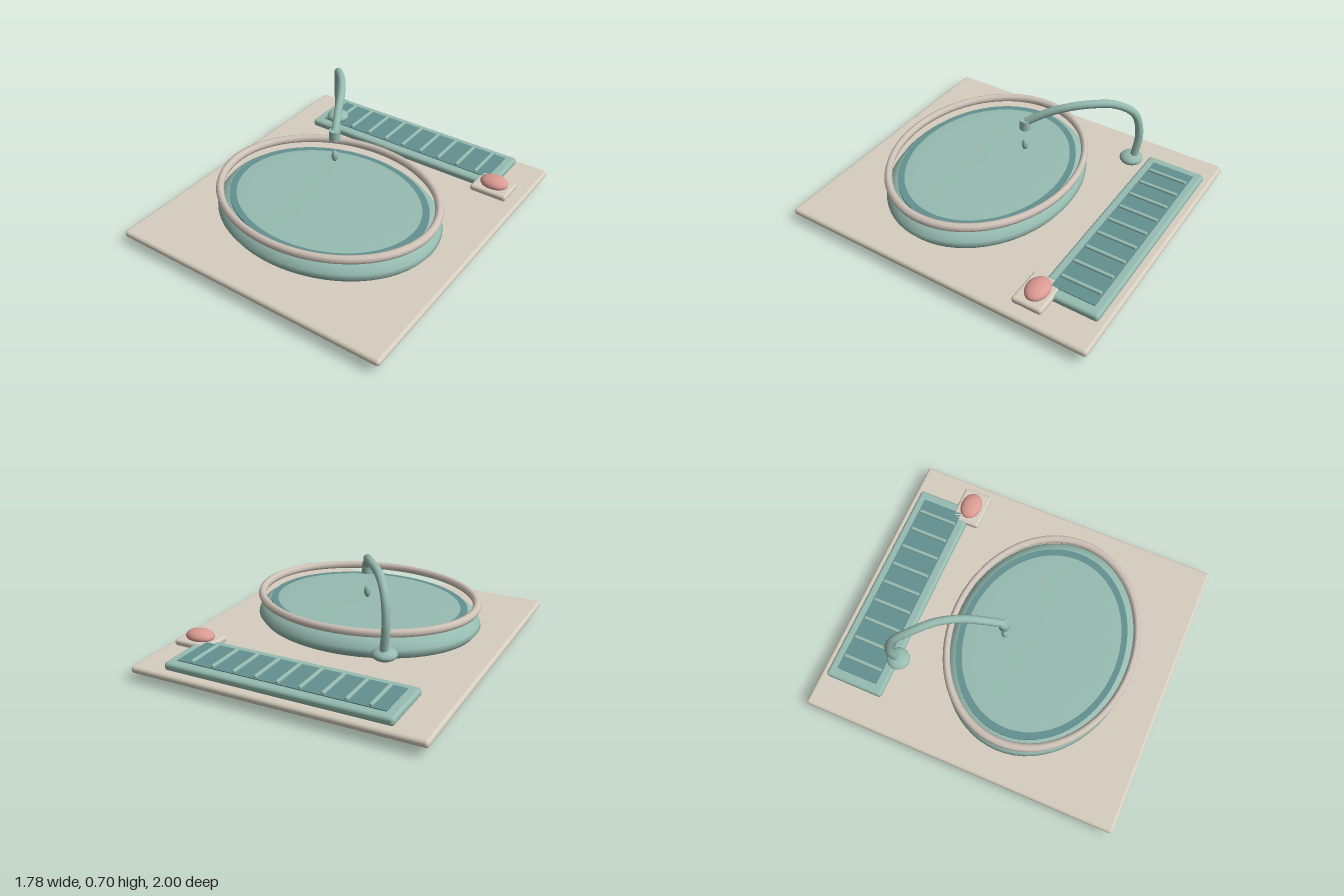
import * as THREE from 'three';
import { RoundedBoxGeometry } from 'three/addons/geometries/RoundedBoxGeometry.js';

const material = (name, color) => {
  const m = new THREE.MeshStandardMaterial({ color });
  m.name = name;
  return m;
};

export function createModel() {
  const stone = material('warm stone', 0xd6cebe);
  const rimTan = material('rim tan', 0xd1c5ba);
  const teal = material('pale teal', 0x96bbb0);
  const darkTeal = material('dark teal', 0x649090);
  const pink = material('soap pink', 0xdb9b92);

  const model = new THREE.Group();
  model.name = 'washbasin';

  const add = (name, geometry, mat, x, y, z, parent = model) => {
    const mesh = new THREE.Mesh(geometry, mat);
    mesh.name = name;
    mesh.position.set(x, y, z);
    parent.add(mesh);
    return mesh;
  };
  const block = (name, mat, w, h, d, x, y, z, r) =>
    add(name, new RoundedBoxGeometry(w, h, d, 3, r), mat, x, y, z);
  const ellipsoid = (name, mat, rx, ry, rz, x, y, z) =>
    add(name, new THREE.SphereGeometry(1, 32, 16).scale(rx, ry, rz), mat, x, y, z);
  const lathe = (points) =>
    new THREE.LatheGeometry(points.map(([r, y]) => new THREE.Vector2(r, y)), 64);

  // Countertop
  block('countertop', stone, 1.78, 0.044, 2, 0, 0.07, 0, 0.02);

  // Oval basin, its round cross-section squashed along z
  const basin = new THREE.Group();
  basin.name = 'basin';
  basin.position.z = 0.19;
  basin.scale.z = 0.8;
  model.add(basin);
  add('bowl', lathe([
    [0, 0], [0.17, 0.005], [0.34, 0.02], [0.51, 0.05], [0.63, 0.078], [0.69, 0.1],
    [0.713, 0.13], [0.705, 0.155], [0.68, 0.185], [0.64, 0.208], [0.6, 0.215],
  ]), teal, 0, 0, 0, basin);
  add('innerBand', new THREE.CylinderGeometry(0.63, 0.63, 0.014, 64), darkTeal, 0, 0.214, 0, basin);
  add('basinFloor', lathe([
    [0.587, 0.219], [0.585, 0.223], [0.47, 0.225], [0.24, 0.227], [0, 0.228],
  ]), teal, 0, 0, 0, basin);

  // Raised rim ring
  const rim = new THREE.TorusGeometry(0.685, 0.026, 8, 72).rotateX(Math.PI / 2);
  add('rim', rim, rimTan, 0, 0.255, 0, basin).scale.z = 1.017;

  // Drainer tray with nine slats
  block('drainerTray', teal, 1.38, 0.05, 0.37, 0, 0.115, -0.77, 0.02);
  add('drainerPanel', new THREE.BoxGeometry(1.26, 0.008, 0.264), darkTeal, 0, 0.141, -0.772);
  for (let i = -4; i <= 4; i++)
    block('drainerSlat', teal, 0.022, 0.02, 0.25, i * 0.135, 0.149, -0.772, 0.008);

  // Soap and its dish
  block('soapDish', stone, 0.24, 0.04, 0.186, 0.7, 0.125, -0.598, 0.016);
  ellipsoid('soap', pink, 0.09, 0.04, 0.067, 0.7, 0.157, -0.6);

  // Faucet
  ellipsoid('faucetBase', teal, 0.07, 0.035, 0.07, -0.457, 0.264, -0.555);
  const spout = new THREE.CatmullRomCurve3([
    [-0.457, 0.27, -0.57], [-0.475, 0.45, -0.583], [-0.45, 0.59, -0.55],
    [-0.375, 0.66, -0.455], [-0.28, 0.677, -0.35], [-0.2, 0.655, -0.23],
    [-0.15, 0.61, -0.13], [-0.095, 0.54, -0.02],
  ].map((p) => new THREE.Vector3(...p)));
  add('faucetSpout', new THREE.TubeGeometry(spout, 64, 0.024, 14), teal, 0, 0, 0);
  add('faucetNozzle', new THREE.CylinderGeometry(0.034, 0.034, 0.062, 24), teal, -0.095, 0.52, -0.015);
  ellipsoid('waterDrop', teal, 0.02, 0.036, 0.02, -0.095, 0.37, -0.015);

  return model;
}
